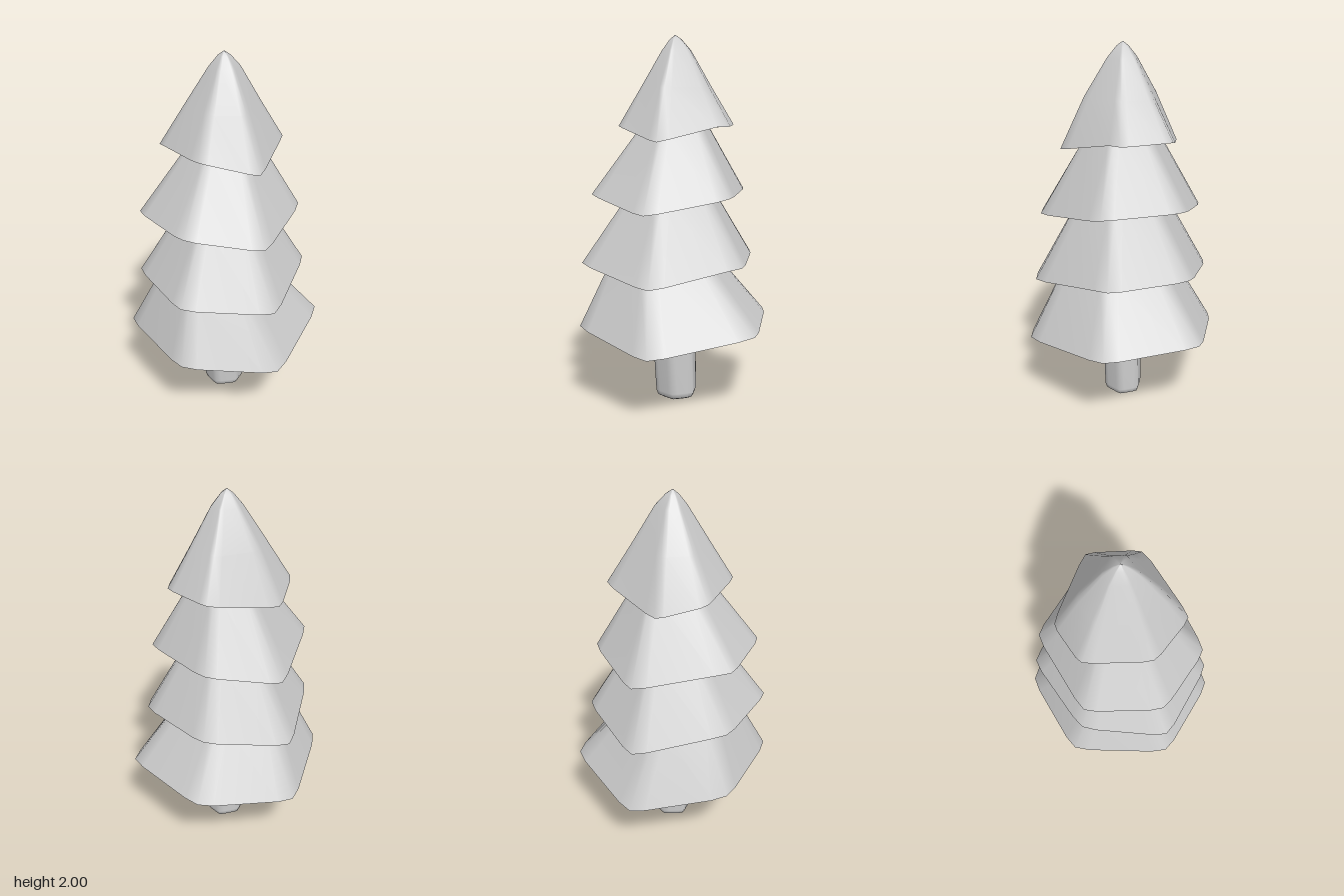
import * as THREE from 'three';

const material = new THREE.MeshStandardMaterial({ color: 0xcccccc, side: THREE.DoubleSide });

// Round off a six-cornered outline: three points per corner.
function roundedHex(corners, bevel = 0.17) {
  const n = corners.length;
  return corners.flatMap(([x, z], i) => {
    const toward = ([nx, nz]) => [
      (x + (nx - x) * bevel) * 1.03,
      (z + (nz - z) * bevel) * 1.03,
    ];
    return [toward(corners[(i + n - 1) % n]), [x, z], toward(corners[(i + 1) % n])];
  });
}

// Skin a stack of equally long rings, from the bottom up.
function loft(name, rings) {
  const n = rings[0].length;
  const index = [];
  for (let r = 0; r < rings.length - 1; r++) {
    for (let j = 0; j < n; j++) {
      const a = r * n + j;
      const b = r * n + ((j + 1) % n);
      index.push(a, b, a + n, b, b + n, a + n);
    }
  }
  const geometry = new THREE.BufferGeometry();
  geometry.setAttribute('position', new THREE.Float32BufferAttribute(rings.flat(2), 3));
  geometry.setIndex(index);
  geometry.computeVertexNormals();
  const mesh = new THREE.Mesh(geometry, material);
  mesh.name = name;
  return mesh;
}

// Scale an outline about (cx, 0) and lift it to height y.
const ringAt = (outline, scale, cx, y) =>
  outline.map(([x, z]) => [cx + x * scale, y, z * scale]);

// Rim corners run back, right-back, right-front, front, left-front, left-back.
// Upper rows are [scale, centre x, y].
const tiers = [
  {
    name: 'lowestBranches', y: 0.46, cx: 0,
    rim: [[0, -0.535], [-0.455, -0.275], [-0.475, 0.265], [-0.04, 0.53], [0.47, 0.26], [0.46, -0.275]],
    rows: [[0.59, -0.06, 0.78], [0.22, -0.1, 1.07], [0, -0.1, 1.13]],
  },
  {
    name: 'lowerBranches', y: 0.81, cx: -0.035,
    rim: [[0, -0.49], [-0.415, -0.215], [-0.46, 0.25], [-0.04, 0.487], [0.39, 0.21], [0.38, -0.24]],
    rows: [[0.54, -0.02, 1.14], [0.22, -0.015, 1.38], [0, -0.015, 1.45]],
  },
  {
    name: 'upperBranches', y: 1.175, cx: -0.04,
    rim: [[0.02, -0.437], [-0.415, -0.19], [-0.41, 0.213], [-0.075, 0.438], [0.325, 0.225], [0.34, -0.21]],
    rows: [[0.48, -0.01, 1.5], [0.22, 0, 1.68], [0, 0, 1.75]],
  },
  {
    name: 'topBranches', y: 1.53, cx: 0.005,
    rim: [[-0.06, -0.322], [-0.28, -0.185], [-0.275, 0.155], [-0.03, 0.332], [0.295, 0.11], [0.283, -0.17]],
    rows: [[0.61, 0.003, 1.73], [0.25, 0.003, 1.92], [0.1, -0.002, 1.977], [0, -0.005, 2]],
  },
];

// Open skirt of branches; the rim droops at its front and back corners.
function makeTier({ name, y, cx, rim, rows }) {
  const outline = roundedHex(rim.map(([x, z]) => [x - cx, z]));
  const reach = Math.max(...rim.map(([, z]) => Math.abs(z)));
  const flat = reach * 0.5;
  const bottom = ringAt(outline, 1, cx, y).map(([x, h, z]) => {
    const droop = Math.max(0, (Math.abs(z) - flat) / (reach - flat));
    return [x, h - 0.068 * droop, z];
  });
  return loft(name, [bottom, ...rows.map((row) => ringAt(outline, ...row))]);
}

// Slightly leaning six-sided trunk with softened ends.
function makeTrunk() {
  const corners = [];
  for (let i = 0; i < 6; i++) {
    const a = (i * Math.PI) / 3;
    corners.push([-0.121 * Math.sin(a), -0.109 * Math.cos(a)]);
  }
  const outline = roundedHex(corners, 0.25);
  const rows = [
    [0, 0.002, 0], [0.75, 0.002, 0], [0.92, 0.002, 0.012], [1, 0.002, 0.04],
    [1.08, -0.018, 0.56], [0.98, -0.018, 0.59], [0.8, -0.018, 0.6], [0, -0.018, 0.6],
  ];
  return loft('trunk', rows.map((row) => ringAt(outline, ...row)));
}

export function createModel() {
  const tree = new THREE.Group();
  tree.name = 'pineTree';
  tree.add(makeTrunk(), ...tiers.map(makeTier));
  return tree;
}
